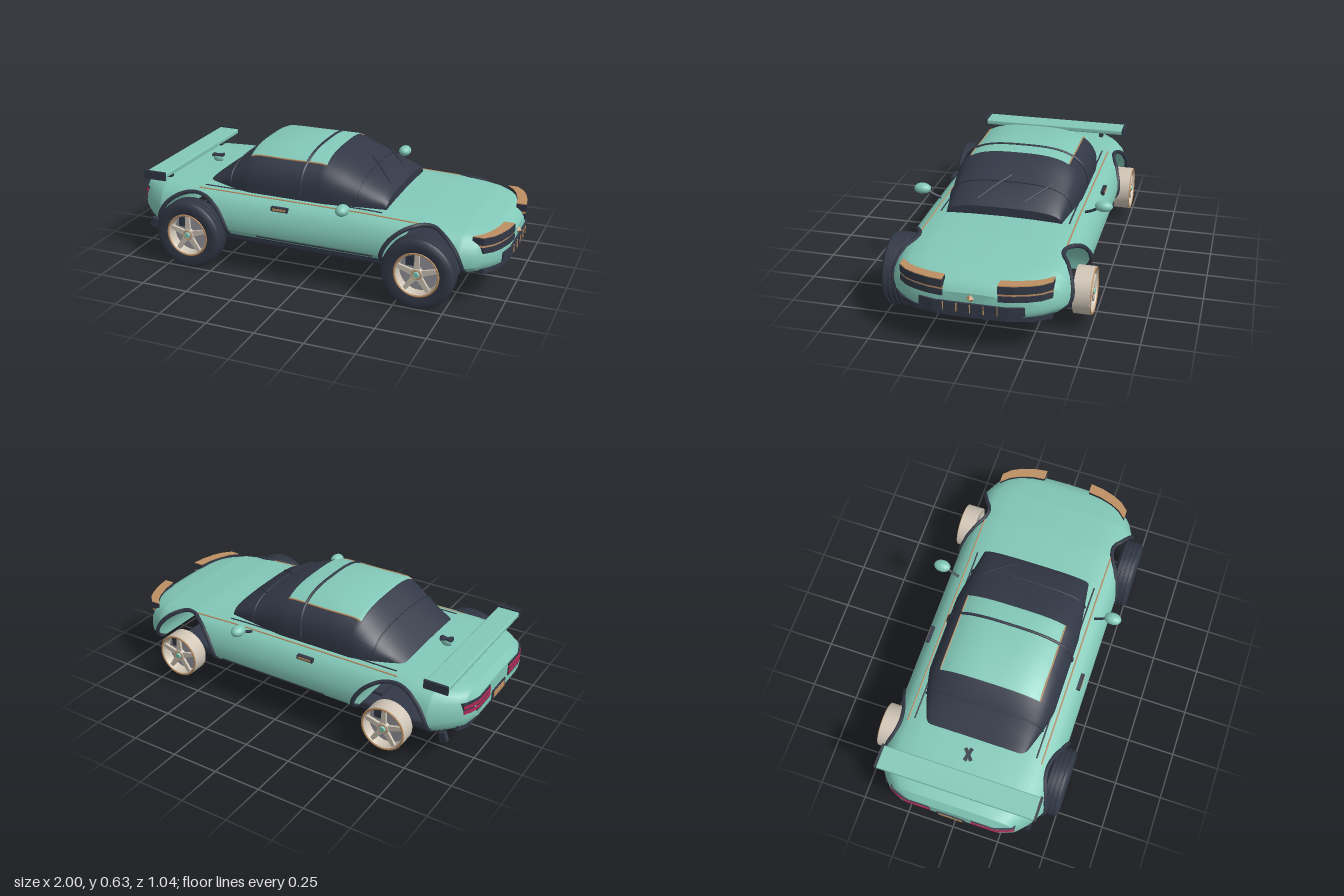
import * as THREE from 'three';
import { toCreasedNormals } from 'three/addons/utils/BufferGeometryUtils.js';
import { RoundedBoxGeometry } from 'three/addons/geometries/RoundedBoxGeometry.js';

const mat = (name, color, side = THREE.FrontSide) => new THREE.MeshStandardMaterial({ name, color, side });
const paint = mat('teal paint', 0x82c8b8);
const dark = mat('dark trim', 0x323846);
const tan = mat('copper trim', 0xbd8f62);
const cream = mat('cream rim', 0xcfc5b6, THREE.DoubleSide);
const grey = mat('grey disc', 0x96969c);
const red = mat('tail lamp red', 0xb02a56);
const V = (x, y, z) => new THREE.Vector3(x, y, z);

// Piecewise linear lookup in [input, output] pairs
function look(table, x) {
  if (x <= table[0][0]) return table[0][1];
  for (let i = 1; i < table.length; i++) {
    const [x0, y0] = table[i - 1], [x1, y1] = table[i];
    if (x <= x1) return y0 + (y1 - y0) * (x - x0) / (x1 - x0);
  }
  return table[table.length - 1][1];
}

// Skin over rings ordered along +x, each running from +z over the top to -z
function loft(rings, closed = true) {
  const pos = [], n = rings[0].length, tri = (...p) => p.forEach(q => pos.push(q.x, q.y, q.z));
  for (let i = 0; i + 1 < rings.length; i++) for (let j = 0; j < (closed ? n : n - 1); j++) {
    const k = (j + 1) % n, a = rings[i][j], b = rings[i][k], c = rings[i + 1][k], d = rings[i + 1][j];
    tri(a, d, c); tri(a, c, b);
  }
  if (closed) [rings[0], rings[rings.length - 1]].forEach((r, end) => {
    const mid = r.reduce((s, p) => s.add(p), V(0, 0, 0)).divideScalar(n);
    r.forEach((p, j) => end ? tri(mid, r[(j + 1) % n], p) : tri(mid, p, r[(j + 1) % n]));
  });
  const g = new THREE.BufferGeometry();
  g.setAttribute('position', new THREE.Float32BufferAttribute(pos, 3));
  return toCreasedNormals(g, 0.5);
}

// Body shape tables
const WHEELS = [-0.625, 0.615], ARCH_R = 0.2, AXLE_Y = 0.185;
const topT = [[-0.99, 0.36], [-0.96, 0.4], [-0.85, 0.415], [-0.6, 0.422], [0.3, 0.418], [0.6, 0.408], [0.8, 0.385], [0.92, 0.36], [0.965, 0.335], [0.985, 0.305]];
const botT = [[-0.99, 0.24], [-0.95, 0.2], [-0.85, 0.18], [0.85, 0.18], [0.95, 0.192], [0.985, 0.21]];
const widT = [[-0.99, 0.27], [-0.96, 0.335], [-0.9, 0.39], [-0.82, 0.44], [-0.7, 0.45], [0.7, 0.45], [0.8, 0.435], [0.87, 0.4], [0.92, 0.345], [0.96, 0.28], [0.985, 0.17]];
const section = [[0, 0.84], [0.08, 0.94], [0.2, 0.99], [0.32, 1], [0.5, 0.985], [0.72, 0.94], [0.86, 0.87], [0.93, 0.78], [0.97, 0.6], [0.99, 0.35], [1, 0]];
const zAt = (x, y) => {
  const b = look(botT, x);
  return look(widT, x) * look(section, (y - b) / (look(topT, x) - b));
};

function bodyRing(x) {
  const b = look(botT, x), t = look(topT, x), w = look(widT, x);
  let floor = b;
  for (const c of WHEELS) {
    const d = ARCH_R ** 2 - (x - c) ** 2;
    if (d > 0) floor = Math.max(floor, AXLE_Y + Math.sqrt(d));
  }
  const half = [[0, 0], [0, 0.45], ...section].map(([v, k]) => {
    const y = b + (t - b) * v;
    return y < floor ? [floor, Math.min(w * k, zAt(x, floor))] : [y, w * k];
  });
  return [...half.map(([y, z]) => V(x, y, z)), ...half.slice(1, -1).reverse().map(([y, z]) => V(x, y, -z))];
}

// Cabin: rounded arch sections
const CAB_Y = 0.4;
const cabH = [[-0.605, 0.425], [-0.45, 0.54], [-0.37, 0.612], [-0.34, 0.624], [0.04, 0.626], [0.07, 0.62], [0.25, 0.54], [0.365, 0.485], [0.39, 0.46]];
const cabW = [[-0.605, 0.265], [-0.45, 0.315], [-0.35, 0.338], [0.08, 0.338], [0.39, 0.295]];
const cabPoint = (x, a, grow = 0) => {
  const c = Math.cos(a), s = Math.sin(a);
  return V(x, CAB_Y + (look(cabH, x) - CAB_Y + grow) * Math.pow(Math.max(s, 0), 2 / 3),
    (look(cabW, x) + grow) * Math.sign(c) * Math.pow(Math.abs(c), 2 / 3));
};
const roofY = (x, z) => CAB_Y + (look(cabH, x) - CAB_Y) * Math.cbrt(1 - Math.pow(Math.abs(z) / look(cabW, x), 3));
const range = (n, f) => Array.from({ length: n + 1 }, (_, i) => f(i / n));

export function createModel() {
  const car = new THREE.Group();
  car.name = 'car';
  const add = (name, geo, m, x = 0, y = 0, z = 0, parent = car) => {
    const mesh = new THREE.Mesh(geo, m);
    mesh.name = name;
    mesh.position.set(x, y, z);
    parent.add(mesh);
    return mesh;
  };
  const box = (name, m, w, h, d, x, y, z) => add(name, new THREE.BoxGeometry(w, h, d), m, x, y, z);
  const tube = (name, m, pts, r) => add(name, new THREE.TubeGeometry(new THREE.CatmullRomCurve3(pts), pts.length * 3, r, 6), m);
  // Upright strip following a plan curve of [x, z] points at the nose or tail
  const strip = (name, m, pts, out, y, h) => {
    const s = Math.sign(pts[0][0]);
    const edge = [...pts.map(([x, z]) => new THREE.Vector2(x + s * out, z)),
      ...pts.slice().reverse().map(([x, z]) => new THREE.Vector2(x - s * 0.04, z))];
    const g = new THREE.ExtrudeGeometry(new THREE.Shape(edge), { depth: h, bevelEnabled: false });
    add(name, g.rotateX(Math.PI / 2), m, 0, y + h, 0);
  };

  // Body shell with wheel arches cut across it
  let xs = range(12, t => -0.425 + t * 0.84).concat([-0.99, -0.975, -0.96, -0.93, -0.9, -0.86, 0.84, 0.87, 0.9, 0.92, 0.94, 0.96, 0.975, 0.985]);
  for (const c of WHEELS) xs = xs.concat(range(24, t => c - ARCH_R * Math.cos(t * Math.PI)));
  xs = [...new Set(xs.map(x => +x.toFixed(4)))].sort((a, b) => a - b);
  add('bodyShell', loft(xs.map(bodyRing)), paint);

  // Chassis
  add('floorPan', new RoundedBoxGeometry(1.54, 0.055, 0.64, 3, 0.02), dark, 0, 0.137, 0);
  box('floorPlate', dark, 0.95, 0.08, 0.47, 0, 0.14, 0);

  // Cabin glass, roof panel and seams
  const cabXs = [...cabH.map(p => p[0]), -0.53, -0.2, 0.15];
  cabXs.sort((a, b) => a - b);
  add('cabinGlass', loft(cabXs.map(x => range(32, t => cabPoint(x, t * Math.PI)))), dark);
  const roofXs = [-0.362, -0.34, -0.15, 0.04, 0.06];
  add('roofPanel', loft(roofXs.map(x => range(20, t => {
    const z = 0.262 * (1 - 2 * t);
    return V(x, roofY(x, z) + 0.004, z);
  })), false), paint);
  const hoop = (name, x, lean, r) => tube(name, dark, range(24, t => {
    const a = 0.05 + t * (Math.PI - 0.1), p = cabPoint(x, a, 0.003);
    p.x += lean * Math.sin(a);
    return p;
  }), r);
  hoop('roofBand', -0.06, 0.02, 0.008);
  hoop('rearWindowSeam', -0.46, 0, 0.004);
  hoop('windscreenSeam', 0.25, 0, 0.004);
  tube('wiper', dark, [V(0.36, 0.485, 0.14), V(0.285, 0.53, 0.07), V(0.21, 0.565, 0)], 0.005);
  tube('wiper', dark, [V(0.36, 0.482, -0.09), V(0.285, 0.522, -0.165), V(0.21, 0.552, -0.235)], 0.005);

  // Parts mirrored on both sides
  for (const s of [1, -1]) {
    const line = (name, m, x0, x1, yf, r) => tube(name, m, range(14, t => {
      const x = x0 + (x1 - x0) * t, y = yf(x);
      return V(x, y, s * zAt(x, y));
    }), r);
    line('beltStripe', tan, -0.62, 0.66, x => look(topT, x) - 0.02, 0.004);
    line('beltTrim', dark, -0.6, 0.38, x => look(topT, x) - 0.014, 0.004);
    line('sillTrim', dark, -0.26, 0.37, () => 0.215, 0.006);
    line('sillEdge', dark, -0.42, 0.41, () => 0.185, 0.007);
    for (const c of WHEELS) tube('archTrim', dark, range(22, t => {
      const a = t * Math.PI, x = c - 0.205 * Math.cos(a), y = AXLE_Y + 0.203 * Math.sin(a);
      return V(x, y, s * (zAt(x, y) + 0.003));
    }), 0.011);
    tube('roofEdge', tan, [-0.36, -0.34, -0.15, 0.04, 0.06].map(x => V(x, roofY(x, 0.262) + 0.003, s * 0.262)), 0.004);

    box('doorHandle', dark, 0.09, 0.022, 0.02, -0.135, 0.372, s * 0.415);
    box('handleInlay', tan, 0.074, 0.012, 0.009, -0.135, 0.372, s * 0.423);
    add('mirror', new THREE.SphereGeometry(1, 20, 14), paint, 0.227, 0.447, s * 0.475).scale.set(0.033, 0.028, 0.045);
    tube('mirrorArm', dark, [V(0.215, 0.4, s * 0.38), V(0.22, 0.415, s * 0.415), V(0.227, 0.437, s * 0.45)], 0.007);

    // Headlamps: two dark bars with copper lines
    const lamp = [[0.982, 0.13], [0.972, 0.2], [0.95, 0.27], [0.925, 0.32], [0.885, 0.362]].map(([x, z]) => [x, s * z]);
    strip('headlampUpper', dark, lamp, 0.015, 0.326, 0.038);
    strip('headlampLower', dark, lamp, 0.015, 0.285, 0.03);
    strip('headlampLine', tan, lamp, 0.01, 0.314, 0.013);
    strip('headlampCap', tan, lamp, 0.012, 0.363, 0.005);

    // Tail lamps
    const tail = [[-0.985, 0.11], [-0.985, 0.24], [-0.97, 0.29], [-0.95, 0.33]].map(([x, z]) => [x, s * z]);
    strip('tailLampFrame', dark, tail, 0.01, 0.28, 0.068);
    strip('tailLampUpper', red, tail, 0.013, 0.319, 0.018);
    strip('tailLampLower', red, tail, 0.013, 0.291, 0.018);

    box('wingEnd', dark, 0.125, 0.045, 0.012, -0.85, 0.455, s * 0.416);
    box('wingSupport', dark, 0.05, 0.05, 0.02, -0.85, 0.425, s * 0.28);
    box('exhaust', dark, 0.035, 0.05, 0.025, -0.89, 0.175, s * 0.385).rotation.z = -0.3;
  }

  // Nose and tail details
  strip('grille', dark, [[0.96, -0.25], [0.979, -0.18], [0.985, 0], [0.979, 0.18], [0.96, 0.25]], 0.013, 0.212, 0.045);
  for (let i = -3; i <= 3; i++) box('grilleBar', tan, 0.008, 0.043, 0.004, 0.998 - 0.0004 * i ** 4 / 2, 0.234, i * 0.064);
  strip('frontLip', dark, [[0.9, -0.36], [0.95, -0.28], [0.975, -0.17], [0.98, 0], [0.975, 0.17], [0.95, 0.28], [0.9, 0.36]], 0.006, 0.18, 0.024);
  strip('rearLip', dark, [[-0.93, -0.34], [-0.96, -0.28], [-0.965, 0], [-0.96, 0.28], [-0.93, 0.34]], 0.008, 0.195, 0.028);
  add('noseStud', new THREE.OctahedronGeometry(0.02), tan, 0.985, 0.28, 0);
  box('rearPlateFrame', dark, 0.014, 0.05, 0.15, -0.99, 0.265, 0);
  box('rearPlate', tan, 0.008, 0.035, 0.125, -0.995, 0.265, 0);

  // Rear wing and deck fin
  add('wing', new RoundedBoxGeometry(0.12, 0.028, 0.83, 2, 0.008), paint, -0.85, 0.455, 0);
  add('deckFin', new THREE.SphereGeometry(1, 14, 10), paint, -0.7, 0.435, 0).scale.set(0.03, 0.022, 0.012);
  for (const a of [0.7, -0.25]) box('deckFinBlade', dark, 0.07, 0.008, 0.018, -0.7, 0.455, 0).rotation.y = a;

  // Wheels, outer face toward local +z; tyres on one side only
  const lathe = (pts, n = 40) => toCreasedNormals(
    new THREE.LatheGeometry(pts.map(([r, z]) => new THREE.Vector2(r, z)), n).rotateX(Math.PI / 2), 0.6);
  const barrel = lathe([[0.108, -0.042], [0.117, -0.042], [0.117, 0.042], [0.105, 0.042], [0.1, 0.03], [0.1, -0.03], [0.108, -0.042]]);
  const tread = [[0.112, -0.05], [0.15, -0.056], [0.172, -0.05], [0.181, -0.04]];
  for (const z of [-0.025, 0, 0.025]) tread.push([0.182, z - 0.004], [0.177, z - 0.002], [0.177, z + 0.002], [0.182, z + 0.004]);
  tread.push([0.181, 0.04], [0.172, 0.05], [0.15, 0.056], [0.112, 0.047], [0.112, -0.05]);
  const tyre = lathe(tread, 48);
  const spoke = new THREE.Shape([[-0.015, 0.015], [0.015, 0.015], [0.01, 0.106], [-0.01, 0.106]].map(p => new THREE.Vector2(...p)));
  const spokeGeo = new THREE.ExtrudeGeometry(spoke, { depth: 0.014, bevelEnabled: false });
  for (const s of [1, -1]) for (const c of WHEELS) {
    const wheel = new THREE.Group();
    wheel.name = 'wheel';
    wheel.position.set(c, AXLE_Y, s * 0.46);
    if (s < 0) wheel.rotation.y = Math.PI;
    car.add(wheel);
    const put = (name, geo, m, x, y, z) => add(name, geo, m, x, y, z, wheel);
    put('rimBarrel', barrel, cream, 0, 0, 0);
    put('rimRing', new THREE.TorusGeometry(0.111, 0.005, 8, 40), tan, 0, 0, 0.042);
    put('brakeDisc', new THREE.CylinderGeometry(0.101, 0.101, 0.012, 32).rotateX(Math.PI / 2), grey, 0, 0, -0.015);
    put('brakeCaliper', new THREE.BoxGeometry(0.04, 0.05, 0.016), dark, -0.045, 0.055, 0);
    for (let i = 0; i < 5; i++) put('spoke', spokeGeo, cream, 0, 0, 0.022).rotation.z = i * Math.PI * 0.4;
    put('hub', new THREE.CylinderGeometry(0.03, 0.034, 0.02, 20).rotateX(Math.PI / 2), cream, 0, 0, 0.03);
    put('hubRing', new THREE.TorusGeometry(0.022, 0.003, 6, 20), tan, 0, 0, 0.04);
    put('hubCap', new THREE.CylinderGeometry(0.014, 0.018, 0.012, 12).rotateX(Math.PI / 2), paint, 0, 0, 0.042);
    if (s > 0) put('tyre', tyre, dark, 0, 0, -0.005);
  }
  return car;
}
